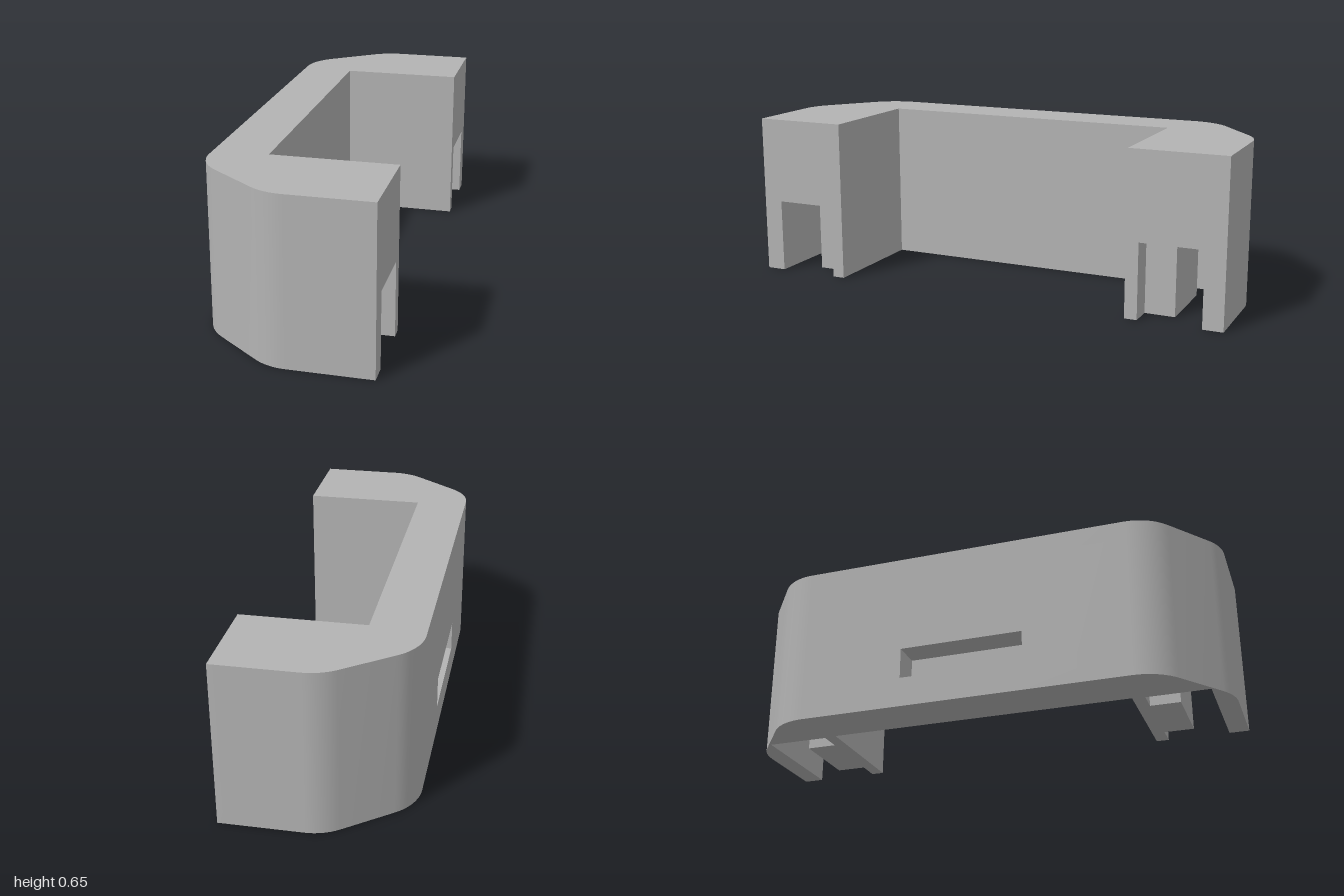
import * as THREE from 'three';
import { mergeGeometries, toCreasedNormals } from 'three/addons/utils/BufferGeometryUtils.js';

const W = 0.348, H = 0.65;             // half width and height
const INNER_X = -0.136, INNER_Z = 0.62; // inside corner of the bracket
const CH = 0.3;                         // channel height
const SLOT = { z: 0.25, y0: 0.12, y1: 0.245, x: -0.23 };

const mirrorZ = pts => pts.map(([x, z]) => [x, -z]).reverse();

// Vertical wall along a path of [x, z] points
function wall(pts, y0, y1) {
  const pos = [];
  for (let i = 0; i < pts.length - 1; i++) {
    const [ax, az] = pts[i], [bx, bz] = pts[i + 1];
    pos.push(ax, y0, az, bx, y0, bz, bx, y1, bz, ax, y0, az, bx, y1, bz, ax, y1, az);
  }
  const g = new THREE.BufferGeometry();
  g.setAttribute('position', new THREE.Float32BufferAttribute(pos, 3));
  return g;
}

// Flat panel facing the given way; horizontal ones take [x, z], upright ones [z, y]
function panel(facing, pts, offset, hole) {
  const flip = facing === 'up' || facing === 'right';
  const map = ([a, b]) => facing === 'up' ? new THREE.Vector2(a, -b)
    : new THREE.Vector2(facing === 'right' ? -a : a, b);
  const shape = new THREE.Shape(pts.map(map));
  if (hole) shape.holes.push(new THREE.Path(hole.map(map)));
  const g = new THREE.ShapeGeometry(shape).toNonIndexed();
  if (facing === 'up' || facing === 'down') {
    g.rotateX(flip ? -Math.PI / 2 : Math.PI / 2).translate(0, offset, 0);
  } else {
    g.rotateY(flip ? Math.PI / 2 : -Math.PI / 2).translate(offset, 0, 0);
  }
  g.deleteAttribute('uv');
  g.deleteAttribute('normal');
  return g;
}

function arc(cx, cz, r, from, to, steps) {
  return Array.from({ length: steps + 1 }, (_, i) => {
    const a = THREE.MathUtils.degToRad(from + (to - from) * i / steps);
    return [cx + r * Math.cos(a), cz + r * Math.sin(a)];
  });
}

const rect = (a0, b0, a1, b1) => [[a0, b0], [a1, b0], [a1, b1], [a0, b1]];

export function createModel() {
  const group = new THREE.Group();
  const grey = new THREE.MeshStandardMaterial({ color: 0xb3b3b3 });
  grey.name = 'grey';
  const add = (name, geometries) => {
    const mesh = new THREE.Mesh(toCreasedNormals(mergeGeometries(geometries), 0.5), grey);
    mesh.name = name;
    group.add(mesh);
  };

  // Plan paths: rounded chamfered corner, inner recess, C-shaped channel
  const corner = [...arc(0.2 - W, 0.665, 0.2, 180, 127, 10), ...arc(0.027, 0.8, 0.2, 127, 90, 8), [W, 1]];
  const inner = [[W, INNER_Z], [INNER_X, INNER_Z], [INNER_X, -INNER_Z], [W, -INNER_Z]];
  const channel = [[W, 0.92], [-0.13, 0.92], [-0.13, 0.67], [-0.04, 0.67], [-0.04, 0.79],
    [0.255, 0.79], [0.255, 0.67], [W, 0.67]];
  const top = [...corner, ...inner, ...mirrorZ(corner)];
  const bottom = [...corner, ...channel, ...inner, ...mirrorZ(channel), ...mirrorZ(corner)];

  // Arm end face, cut by the channel opening
  const end = [[1, 0], [1, H], [INNER_Z, H], [INNER_Z, 0], [0.67, 0], [0.67, CH], [0.92, CH], [0.92, 0]];
  const backEdge = corner[0][1];

  add('bracketBody', [
    panel('up', top, H),
    panel('down', bottom, 0),
    wall(corner, 0, H),
    wall(mirrorZ(corner), 0, H),
    wall(inner, 0, H),
    panel('right', end, W),
    panel('right', mirrorZ(end.map(([z, y]) => [y, z])).map(([y, z]) => [z, y]), W),
    panel('left', rect(-backEdge, 0, backEdge, H), -W, rect(-SLOT.z, SLOT.y0, SLOT.z, SLOT.y1)),
  ]);

  // Channels hollowed into the underside of each arm
  for (const [name, path] of [['frontArmChannel', channel], ['rearArmChannel', mirrorZ(channel)]]) {
    add(name, [wall(path, 0, CH), panel('down', path, CH)]);
  }

  // Blind slot in the long back wall
  const slotPlan = [[-W, -SLOT.z], [SLOT.x, -SLOT.z], [SLOT.x, SLOT.z], [-W, SLOT.z]];
  add('backSlot', [
    wall(slotPlan, SLOT.y0, SLOT.y1),
    panel('up', slotPlan, SLOT.y0),
    panel('down', slotPlan, SLOT.y1),
  ]);
  return group;
}
